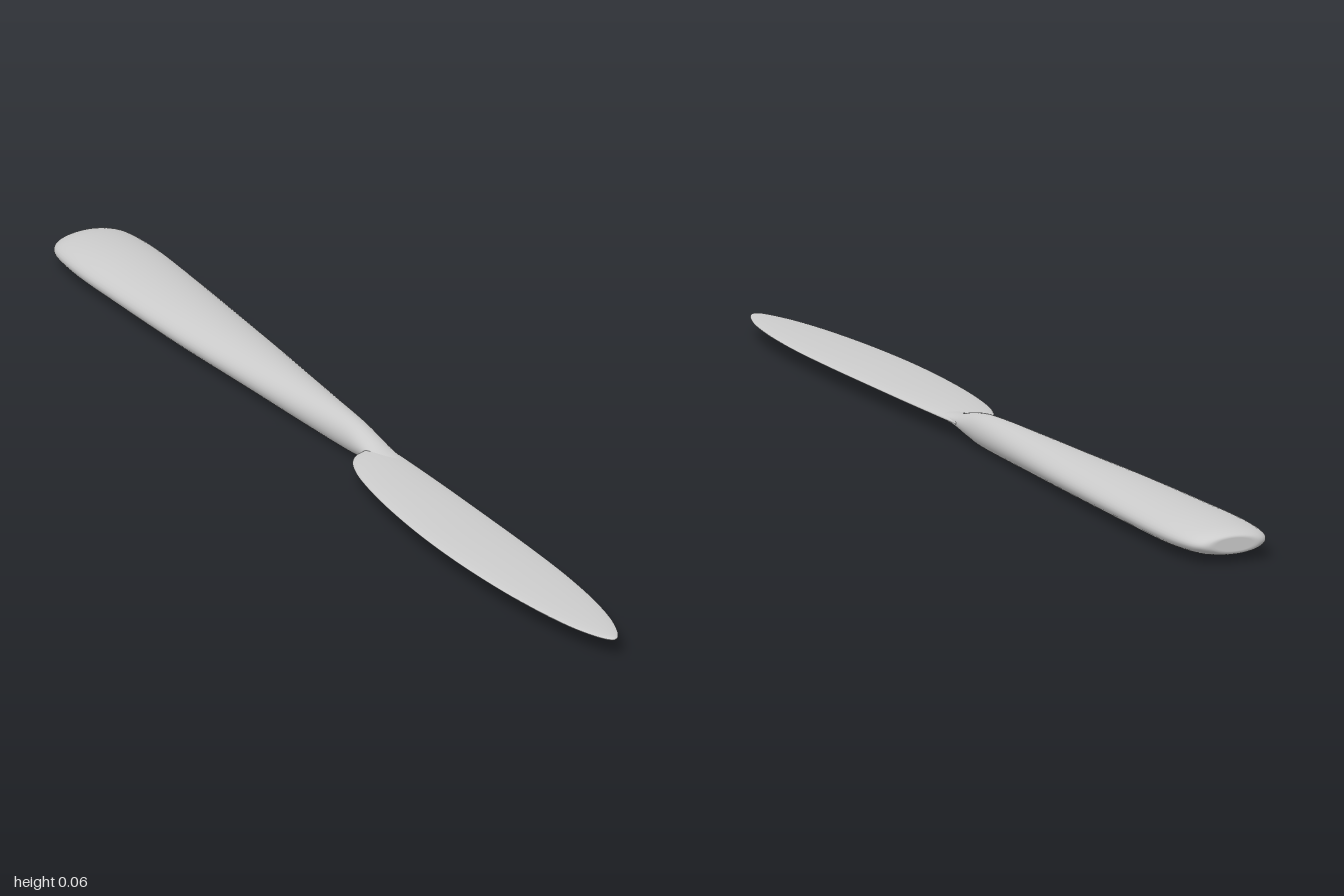
import * as THREE from 'three';

const MID_Y = 0.035;
const SIDES = 40;
const STEPS = 5; // rings between neighbouring stations

// Smooth loft of elliptical sections; each station is [z, xMin, xMax, halfHeight]
function loft(name, stations, material) {
  const edge = (k) => new THREE.CatmullRomCurve3(
    stations.map((s) => new THREE.Vector3(s[k], s[3], s[0])), false, 'catmullrom', 0.5);
  const low = edge(1), high = edge(2);
  const rings = (stations.length - 1) * STEPS;
  const position = [], index = [];
  for (let i = 0; i <= rings; i++) {
    const a = low.getPoint(i / rings), b = high.getPoint(i / rings);
    const centre = (a.x + b.x) / 2, half = Math.max((b.x - a.x) / 2, 0);
    const height = Math.max(a.y, 0), z = THREE.MathUtils.clamp(a.z, -1, 1);
    for (let j = 0; j < SIDES; j++) {
      const t = (j / SIDES) * Math.PI * 2;
      position.push(centre + half * Math.cos(t), MID_Y + height * Math.sin(t), z);
      if (i === rings) continue;
      const p = i * SIDES + j, q = i * SIDES + (j + 1) % SIDES;
      index.push(p, q, p + SIDES, q, q + SIDES, p + SIDES);
    }
  }
  const geometry = new THREE.BufferGeometry();
  geometry.setAttribute('position', new THREE.Float32BufferAttribute(position, 3));
  geometry.setIndex(index);
  geometry.computeVertexNormals();
  const mesh = new THREE.Mesh(geometry, material);
  mesh.name = name;
  return mesh;
}

export function createModel() {
  const group = new THREE.Group();
  group.name = 'knife';
  const material = new THREE.MeshStandardMaterial({ color: 0xcccccc });

  // Handle: broad rounded butt, narrowing to a neck that flattens into the blade
  group.add(loft('handle', [
    [-1, 0.014, 0.014, 0],
    [-1, -0.03, 0.058, 0.014],
    [-0.985, -0.052, 0.08, 0.021],
    [-0.95, -0.064, 0.091, 0.026],
    [-0.87, -0.069, 0.096, 0.03],
    [-0.75, -0.066, 0.092, 0.031],
    [-0.55, -0.058, 0.081, 0.032],
    [-0.35, -0.043, 0.068, 0.032],
    [-0.15, -0.027, 0.052, 0.032],
    [-0.02, -0.016, 0.042, 0.03],
    [0.04, -0.014, 0.038, 0.023],
    [0.09, -0.012, 0.036, 0.012],
    [0.14, -0.006, 0.034, 0.006],
    [0.17, 0.014, 0.014, 0],
  ], material));

  // Blade: thin, bellied on one side, with a rounded heel and tip
  group.add(loft('blade', [
    [0.065, 0.01, 0.01, 0],
    [0.068, -0.018, 0.036, 0.006],
    [0.08, -0.038, 0.037, 0.008],
    [0.11, -0.056, 0.038, 0.009],
    [0.17, -0.073, 0.04, 0.009],
    [0.28, -0.089, 0.042, 0.009],
    [0.42, -0.099, 0.043, 0.008],
    [0.56, -0.1, 0.043, 0.008],
    [0.7, -0.093, 0.04, 0.007],
    [0.82, -0.08, 0.031, 0.006],
    [0.91, -0.064, 0.017, 0.005],
    [0.965, -0.047, 0.001, 0.004],
    [0.992, -0.033, -0.012, 0.003],
    [1, -0.023, -0.023, 0],
  ], material));

  return group;
}
